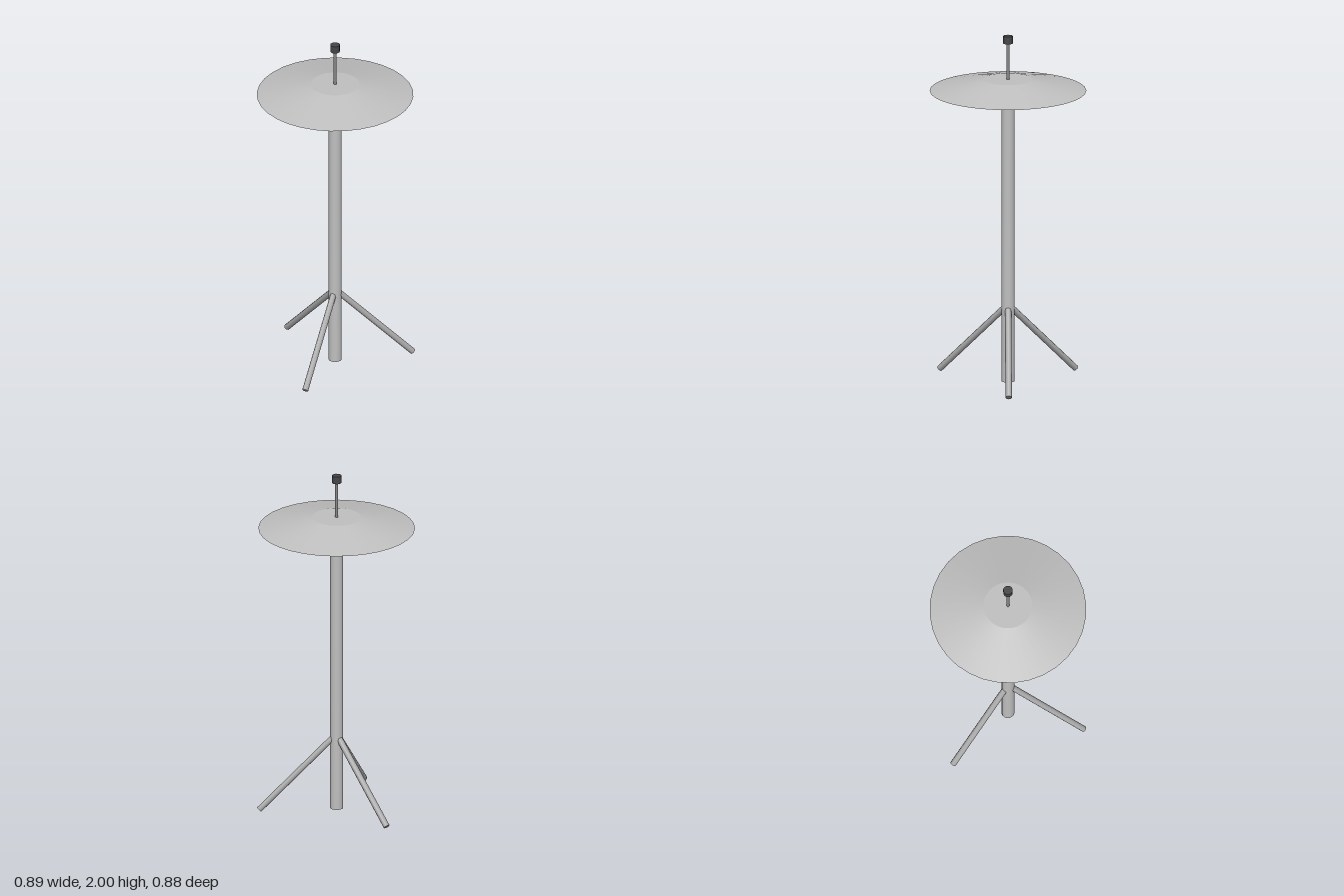
import * as THREE from 'three';

const material = (name, color) => {
  const m = new THREE.MeshStandardMaterial({ color });
  m.name = name;
  return m;
};

export function createModel() {
  const lightMetal = material('lightMetal', 0xc0c0c0);
  const legMetal = material('legMetal', 0xa8a8a8);
  const rodMetal = material('rodMetal', 0x888888);
  const darkCap = material('darkCap', 0x46464a);

  const model = new THREE.Group();
  model.name = 'tripodStand';

  // Upright cylinder or cone between two heights
  const addUpright = (name, mat, rTop, rBottom, y0, y1, sides) => {
    const mesh = new THREE.Mesh(new THREE.CylinderGeometry(rTop, rBottom, y1 - y0, sides), mat);
    mesh.name = name;
    mesh.position.set(-0.008, (y0 + y1) / 2, 0);
    model.add(mesh);
  };

  addUpright('pole', lightMetal, 0.037, 0.037, 0, 1.667, 16);
  addUpright('dish', lightMetal, 0.137, 0.44, 1.683, 1.75, 32);
  addUpright('rod', rodMetal, 0.009, 0.009, 1.75, 1.96, 8);
  addUpright('cap', darkCap, 0.027, 0.027, 1.957, 2, 12);

  // Three splayed legs, one pointing along +x
  const top = new THREE.Vector3(0.02, 0.425, 0);
  const foot = new THREE.Vector3(0.441, 0.017, 0);
  const axis = top.clone().sub(foot);
  const legGeometry = new THREE.CylinderGeometry(0.018, 0.018, axis.length(), 8);
  for (let i = 0; i < 3; i++) {
    const leg = new THREE.Mesh(legGeometry, legMetal);
    leg.name = 'leg';
    leg.position.copy(top).add(foot).multiplyScalar(0.5);
    leg.quaternion.setFromUnitVectors(new THREE.Vector3(0, 1, 0), axis.clone().normalize());
    const pivot = new THREE.Group();
    pivot.name = 'legPivot' + (i + 1);
    pivot.position.x = -0.008;
    pivot.rotation.y = (i * Math.PI * 2) / 3;
    pivot.add(leg);
    model.add(pivot);
  }
  return model;
}
